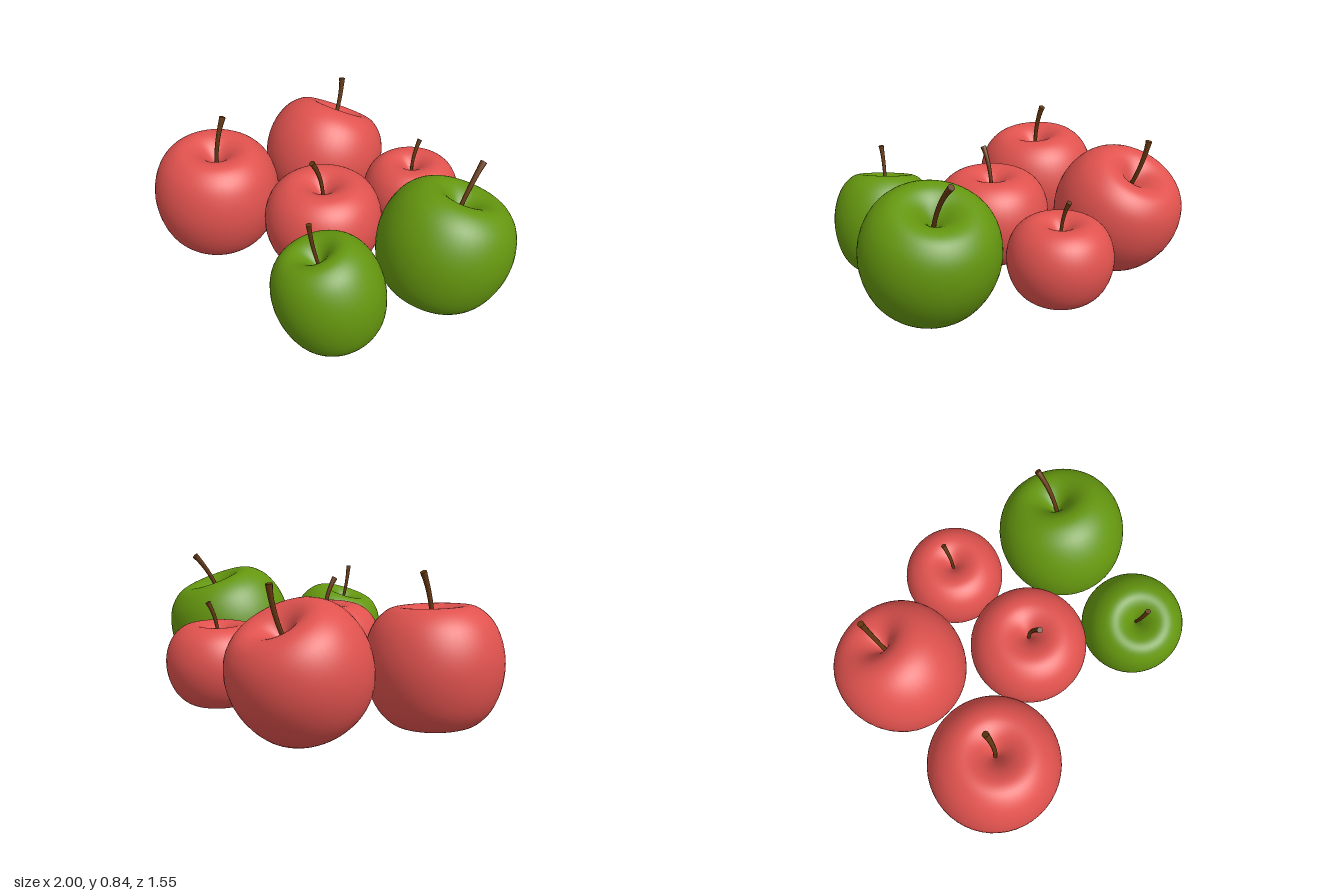
import * as THREE from 'three';

const red = new THREE.MeshStandardMaterial({ name: 'appleRed', color: 0xe0524e });
const green = new THREE.MeshStandardMaterial({ name: 'appleGreen', color: 0x64960f });
const brown = new THREE.MeshStandardMaterial({ name: 'stemBrown', color: 0x633610 });
const UP = new THREE.Vector3(0, 1, 0);

// Half outline of an apple, from the bottom dimple to the stem dimple
const outline = new THREE.SplineCurve([
  [0, -0.86], [0.12, -0.89], [0.28, -0.975], [0.42, -1], [0.62, -0.93], [0.82, -0.69],
  [0.95, -0.34], [1, 0.05], [0.96, 0.42], [0.84, 0.74], [0.65, 0.95], [0.46, 1],
  [0.28, 0.92], [0.13, 0.76], [0.04, 0.61], [0, 0.57],
].map(([r, y]) => new THREE.Vector2(r, y))).getPoints(60);

// centre, radius, half height, direction of the core, tip of the stem
const apples = [
  { name: 'redAppleFront', mat: red, at: [-0.64, 0.33, 0.41], r: 0.36, h: 0.312, axis: [0.08, 1, 0], tip: [-0.615, 0.82, 0.345] },
  { name: 'redAppleBack', mat: red, at: [-0.565, 0.365, -0.33], r: 0.36, h: 0.297, axis: [-0.05, 0.88, -0.47], tip: [-0.595, 0.81, -0.51] },
  { name: 'redAppleSmall', mat: red, at: [0.053, 0.305, -0.495], r: 0.28, h: 0.215, axis: [0, 1, 0], tip: [0.055, 0.64, -0.55] },
  { name: 'redAppleMiddle', mat: red, at: [-0.008, 0.343, 0.12], r: 0.325, h: 0.248, axis: [0, 1, 0], tip: [-0.01, 0.735, 0.19] },
  { name: 'greenAppleLarge', mat: green, at: [0.637, 0.4, -0.165], r: 0.36, h: 0.303, axis: [0.09, 0.94, -0.33], tip: [0.66, 0.83, -0.385] },
  { name: 'greenAppleSmall', mat: green, at: [0.483, 0.32, 0.477], r: 0.283, h: 0.272, axis: [-0.2, 0.95, 0.2], tip: [0.43, 0.745, 0.555] },
];

// Bent stem that widens towards its cut end
function makeStem(base, axis, tip, radius) {
  const bend = base.clone().addScaledVector(axis, base.distanceTo(tip) * 0.55);
  const curve = new THREE.QuadraticBezierCurve3(base, bend, tip);
  const rings = 14, sides = 10;
  const geo = new THREE.TubeGeometry(curve, rings, radius, sides);
  const pos = geo.attributes.position;
  const v = new THREE.Vector3();
  for (let i = 0; i <= rings; i++) {
    const t = i / rings;
    const c = curve.getPointAt(t);
    const s = 0.75 + 0.25 * t + 0.3 * t ** 8;
    for (let j = 0; j <= sides; j++) {
      const k = i * (sides + 1) + j;
      v.fromBufferAttribute(pos, k).sub(c).multiplyScalar(s).add(c);
      pos.setXYZ(k, v.x, v.y, v.z);
    }
  }
  const stem = new THREE.Group();
  stem.name = 'stem';
  const shaft = new THREE.Mesh(geo, brown);
  shaft.name = 'stemShaft';
  const cap = new THREE.Mesh(new THREE.CircleGeometry(radius * 1.3, sides), brown);
  cap.name = 'stemEnd';
  cap.position.copy(tip);
  cap.quaternion.setFromUnitVectors(new THREE.Vector3(0, 0, 1), curve.getTangentAt(1));
  stem.add(shaft, cap);
  return stem;
}

function makeApple({ name, mat, at, r, h, axis, tip }) {
  const apple = new THREE.Group();
  apple.name = name;
  const centre = new THREE.Vector3(...at);
  const dir = new THREE.Vector3(...axis).normalize();

  // Fruit
  const points = outline.map((p) => new THREE.Vector2(Math.max(0, p.x) * r, p.y * h));
  const fruit = new THREE.Mesh(new THREE.LatheGeometry(points, 48), mat);
  fruit.name = 'fruit';
  fruit.position.copy(centre);
  fruit.quaternion.setFromUnitVectors(UP, dir);

  // Stem rises from the dimple
  const base = centre.clone().addScaledVector(dir, h * 0.55);
  apple.add(fruit, makeStem(base, dir, new THREE.Vector3(...tip), r * 0.039));
  return apple;
}

export function createModel() {
  const model = new THREE.Group();
  model.name = 'apples';
  for (const a of apples) model.add(makeApple(a));
  return model;
}
